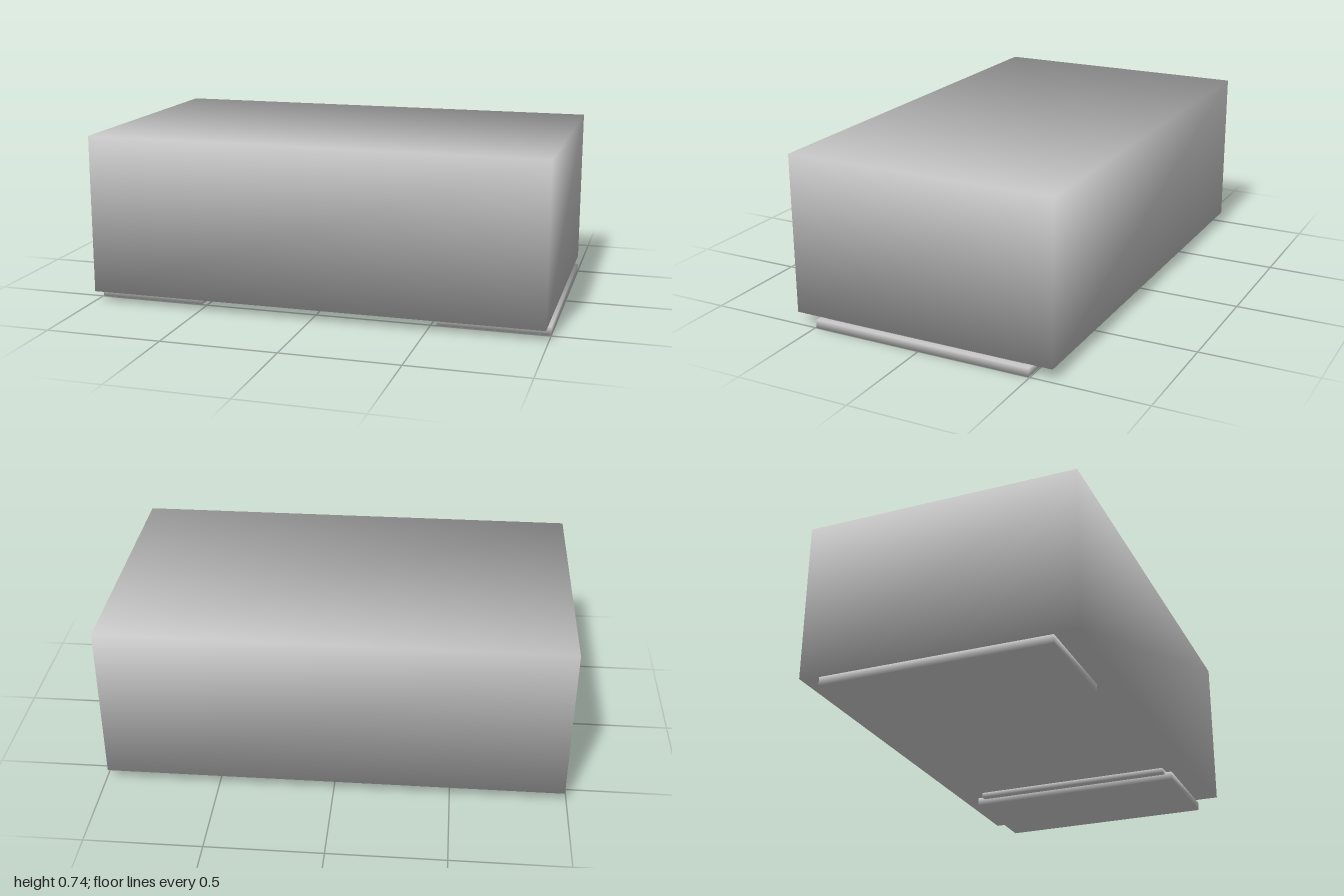
import * as THREE from 'three';

const grey = new THREE.MeshStandardMaterial({ color: 0xcccccc });
grey.name = 'plainGrey';

// Box with soft normals shared at every corner, placed by its extents
function softBox(name, [x0, x1], [y0, y1], halfDepth) {
  const geometry = new THREE.BoxGeometry(x1 - x0, y1 - y0, halfDepth * 2);
  const { position, normal } = geometry.attributes;
  const n = new THREE.Vector3();
  for (let i = 0; i < position.count; i++) {
    n.fromBufferAttribute(position, i);
    n.set(Math.sign(n.x), Math.sign(n.y), Math.sign(n.z)).normalize();
    normal.setXYZ(i, n.x, n.y, n.z);
  }
  const mesh = new THREE.Mesh(geometry, grey);
  mesh.name = name;
  mesh.position.set((x0 + x1) / 2, (y0 + y1) / 2, 0);
  return mesh;
}

export function createModel() {
  const model = new THREE.Group();
  model.name = 'cabinet';

  // Main block
  model.add(softBox('body', [-0.99, 0.99], [0.05, 0.743], 0.593));

  // A runner on each side: a thin spacer above a wider foot plate
  for (const side of [-1, 1]) {
    const span = (inner, outer) => (side > 0 ? [inner, outer] : [-outer, -inner]);
    const runner = new THREE.Group();
    runner.name = side > 0 ? 'leftRunner' : 'rightRunner';
    runner.add(softBox('spacer', span(0.495, 0.97), [0.027, 0.052], 0.46));
    runner.add(softBox('footPlate', span(0.525, 1), [0, 0.037], 0.495));
    model.add(runner);
  }
  return model;
}
